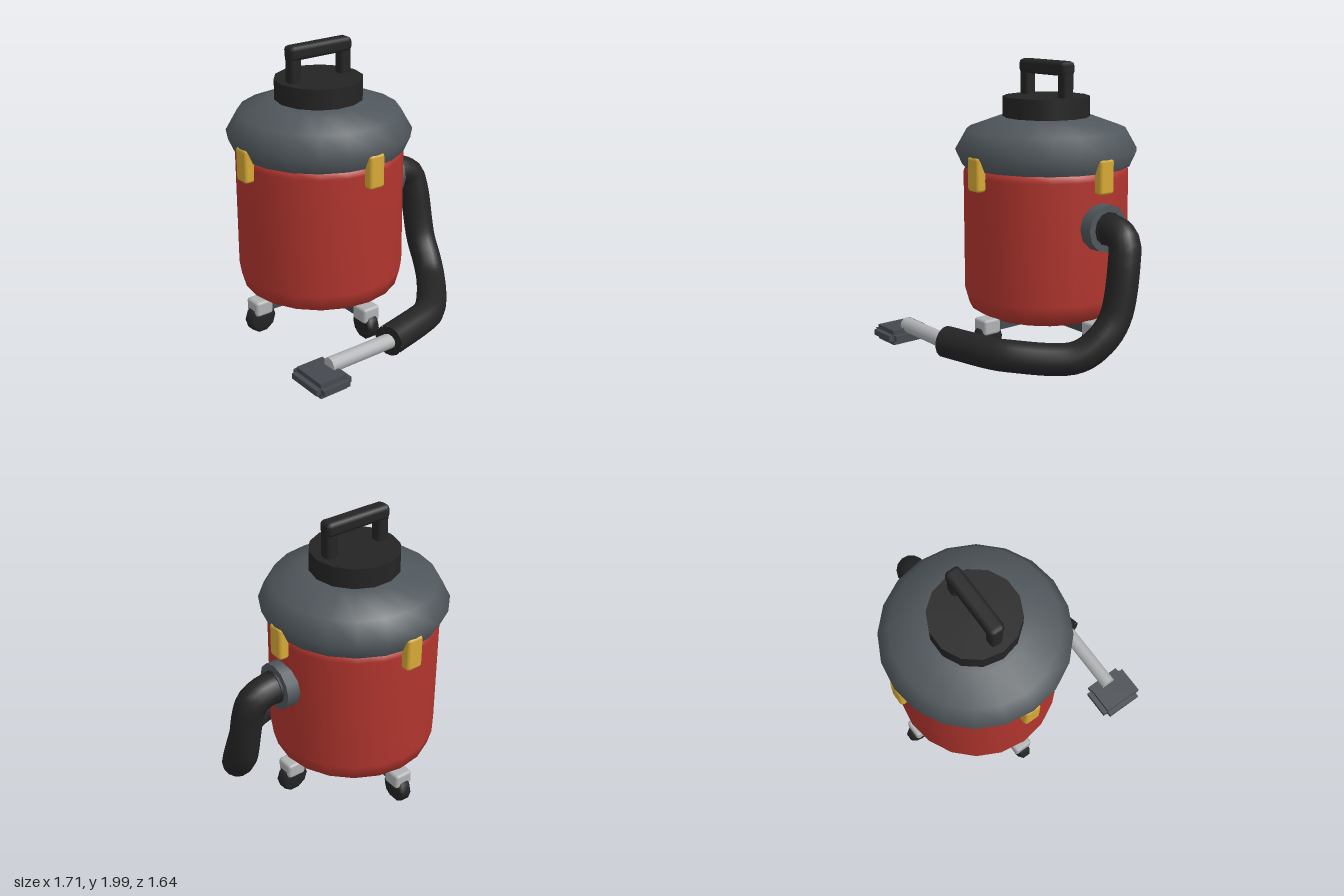
import * as THREE from 'three';
import { toCreasedNormals } from 'three/addons/utils/BufferGeometryUtils.js';
import { RoundedBoxGeometry } from 'three/addons/geometries/RoundedBoxGeometry.js';

const mat = (name, color) => {
  const m = new THREE.MeshStandardMaterial({ color });
  m.name = name;
  return m;
};

export function createModel() {
  const red = mat('tank red', 0xb2352e);
  const grey = mat('lid grey', 0x50575c);
  const darkGrey = mat('dark grey', 0x45494f);
  const black = mat('rubber black', 0x242424);
  const yellow = mat('latch yellow', 0xd6a936);
  const metal = mat('light metal', 0xb0b2b3);

  const model = new THREE.Group();
  model.name = 'vacuumCleaner';

  const add = (parent, name, geometry, material, x = 0, y = 0, z = 0) => {
    const mesh = new THREE.Mesh(geometry, material);
    mesh.name = name;
    mesh.position.set(x, y, z);
    parent.add(mesh);
    return mesh;
  };
  const lathe = (pts, sides) =>
    new THREE.LatheGeometry(pts.map(([r, y]) => new THREE.Vector2(r, y)), sides);

  // Everything round the upright axis lives in this group
  const canister = new THREE.Group();
  canister.name = 'canister';
  canister.position.set(-0.11, 0, -0.185);
  model.add(canister);

  // Tank with rounded lower edge
  add(canister, 'tank', lathe([
    [0, 0.225], [0.46, 0.23], [0.55, 0.28], [0.58, 0.39],
    [0.58, 1.23], [0.565, 1.27], [0.54, 1.285],
  ], 20), red);

  // Lid, motor cap
  add(canister, 'lid', toCreasedNormals(lathe([
    [0.5, 1.28], [0.59, 1.28], [0.637, 1.385], [0.555, 1.53], [0.33, 1.612], [0, 1.612],
  ], 20), 1.0), grey);
  const cap = add(canister, 'motorCap', new THREE.CylinderGeometry(0.304, 0.304, 0.15, 14), black, 0, 1.677);
  cap.rotation.y = Math.PI / 2;

  // Carry handle
  for (const x of [-0.205, 0.205]) {
    add(canister, 'handlePost', new RoundedBoxGeometry(0.085, 0.22, 0.085, 1, 0.02), black, x, 1.84);
  }
  add(canister, 'handleGrip', new RoundedBoxGeometry(0.5, 0.1, 0.11, 1, 0.03), black, 0, 1.95);

  // Latches and caster legs, repeated on four sides
  for (let i = 0; i < 4; i++) {
    const side = new THREE.Group();
    side.name = 'side' + (i + 1);
    side.rotation.y = i * Math.PI / 2;
    canister.add(side);
    add(side, 'latch', new RoundedBoxGeometry(0.12, 0.235, 0.075, 1, 0.02), yellow, 0, 1.263, 0.602);
    add(side, 'casterBracket', new RoundedBoxGeometry(0.135, 0.11, 0.135, 1, 0.02), metal, 0, 0.198, 0.525);
    const wheel = add(side, 'casterWheel', new RoundedWheel(), black, 0, 0.108, 0.525);
    wheel.rotation.z = Math.PI / 2;
  }
  for (const angle of [0, Math.PI / 2]) {
    add(canister, 'baseBar', new THREE.BoxGeometry(1.04, 0.065, 0.1), darkGrey, 0, 0.195).rotation.y = angle;
  }

  // Hose port on the left side
  const port = add(model, 'portFlange', new THREE.CylinderGeometry(0.163, 0.163, 0.095, 12), grey, 0.493, 0.92, -0.182);
  port.rotation.z = Math.PI / 2;
  const collar = add(model, 'portCollar', new THREE.CylinderGeometry(0.115, 0.115, 0.06, 12), black, 0.525, 0.92, -0.182);
  collar.rotation.z = Math.PI / 2;

  // Flexible hose with a flat end
  const path = new THREE.CatmullRomCurve3([
    [0.5, 0.92, -0.182], [0.62, 0.912, -0.18], [0.705, 0.86, -0.172], [0.733, 0.75, -0.15],
    [0.742, 0.38, -0.07], [0.715, 0.23, 0.04], [0.635, 0.13, 0.18],
    [0.33, 0.13, 0.5], [0.23, 0.13, 0.55], [-0.165, 0.13, 0.65],
  ].map((p) => new THREE.Vector3(...p)));
  add(model, 'hose', new THREE.TubeGeometry(path, 48, 0.108, 14), black);
  const end = path.getPoint(1);
  const hoseEnd = add(model, 'hoseEnd', new THREE.CircleGeometry(0.108, 14), black, end.x, end.y, end.z);
  hoseEnd.lookAt(end.clone().add(path.getTangent(1)));

  // Wand
  const wand = add(model, 'wand', new THREE.CylinderGeometry(0.053, 0.053, 0.52, 12), metal, -0.4, 0.128, 0.65);
  wand.rotation.z = Math.PI / 2;

  // Floor nozzle: stepped block
  for (const [w, h, d] of [[0.275, 0.04, 0.265], [0.205, 0.04, 0.335], [0.205, 0.105, 0.265]]) {
    add(model, 'floorNozzle', new THREE.BoxGeometry(w, h, d), darkGrey, -0.7225, 0.0625, 0.6525);
  }
  return model;
}

// Small wheel with bevelled rims, axis along y
class RoundedWheel extends THREE.LatheGeometry {
  constructor() {
    super([[0, -0.047], [0.08, -0.047], [0.106, -0.028], [0.106, 0.028], [0.08, 0.047], [0, 0.047]]
      .map(([r, y]) => new THREE.Vector2(r, y)), 10);
  }
}
